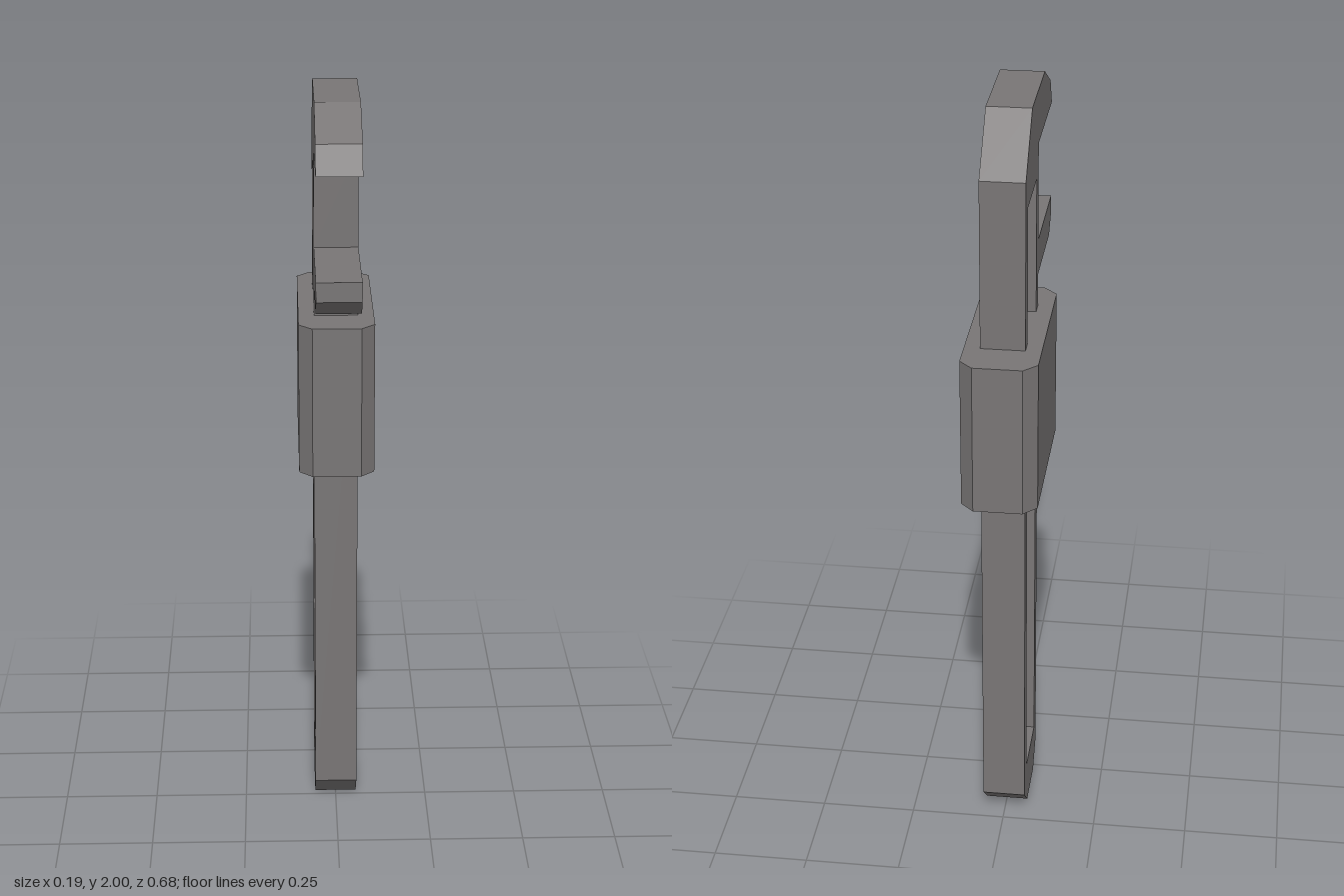
import * as THREE from 'three';

const steel = new THREE.MeshStandardMaterial({ color: 0x797676 });
steel.name = 'grey steel';

const shapeOf = (points) => new THREE.Shape(points.map(([a, b]) => new THREE.Vector2(a, b)));

// Extrudes a side outline given as [z, y] across x, centred on x = 0
function sidePlate(name, shape, width) {
  const geometry = new THREE.ExtrudeGeometry(shape, { depth: width, bevelEnabled: false });
  geometry.translate(0, 0, -width / 2).rotateY(-Math.PI / 2);
  const mesh = new THREE.Mesh(geometry, steel);
  mesh.name = name;
  return mesh;
}

export function createModel() {
  const wrench = new THREE.Group();
  wrench.name = 'adjustableWrench';

  // Handle with hooked upper jaw and straight lower jaw
  const outline = shapeOf([
    [-0.02, 0], [0.04, 0.065], [0.04, 1.507], [0.295, 1.507], [0.34, 1.55],
    [0.34, 1.6], [0.04, 1.6], [0.04, 1.86], [0.34, 1.86], [0.305, 1.93],
    [0.17, 2], [-0.1, 2], [-0.23, 1.86], [-0.23, 0.065], [-0.16, 0],
  ]);
  const slot = [[0, 0.13], [-0.185, 0.13], [-0.185, 1.78], [0, 1.78]];
  outline.holes.push(new THREE.Path(slot.map(([z, y]) => new THREE.Vector2(z, y))));
  wrench.add(sidePlate('handleAndJaws', outline, 0.113));

  // Thin web forming the floor of the recess on both sides
  wrench.add(sidePlate('recessFloor', shapeOf(slot), 0.06));

  // Chamfered sliding collar around the handle
  const x = 0.097, inner = 0.0625, front = 0.15, back = -0.34, cut = 0.035;
  const section = shapeOf([
    [inner, -front], [x, -front + cut], [x, -back - cut], [inner, -back],
    [-inner, -back], [-x, -back - cut], [-x, -front + cut], [-inner, -front],
  ]);
  const collarGeometry = new THREE.ExtrudeGeometry(section, { depth: 0.4, bevelEnabled: false });
  collarGeometry.rotateX(-Math.PI / 2).translate(0, 1.02, 0);
  const collar = new THREE.Mesh(collarGeometry, steel);
  collar.name = 'collar';
  wrench.add(collar);

  return wrench;
}
